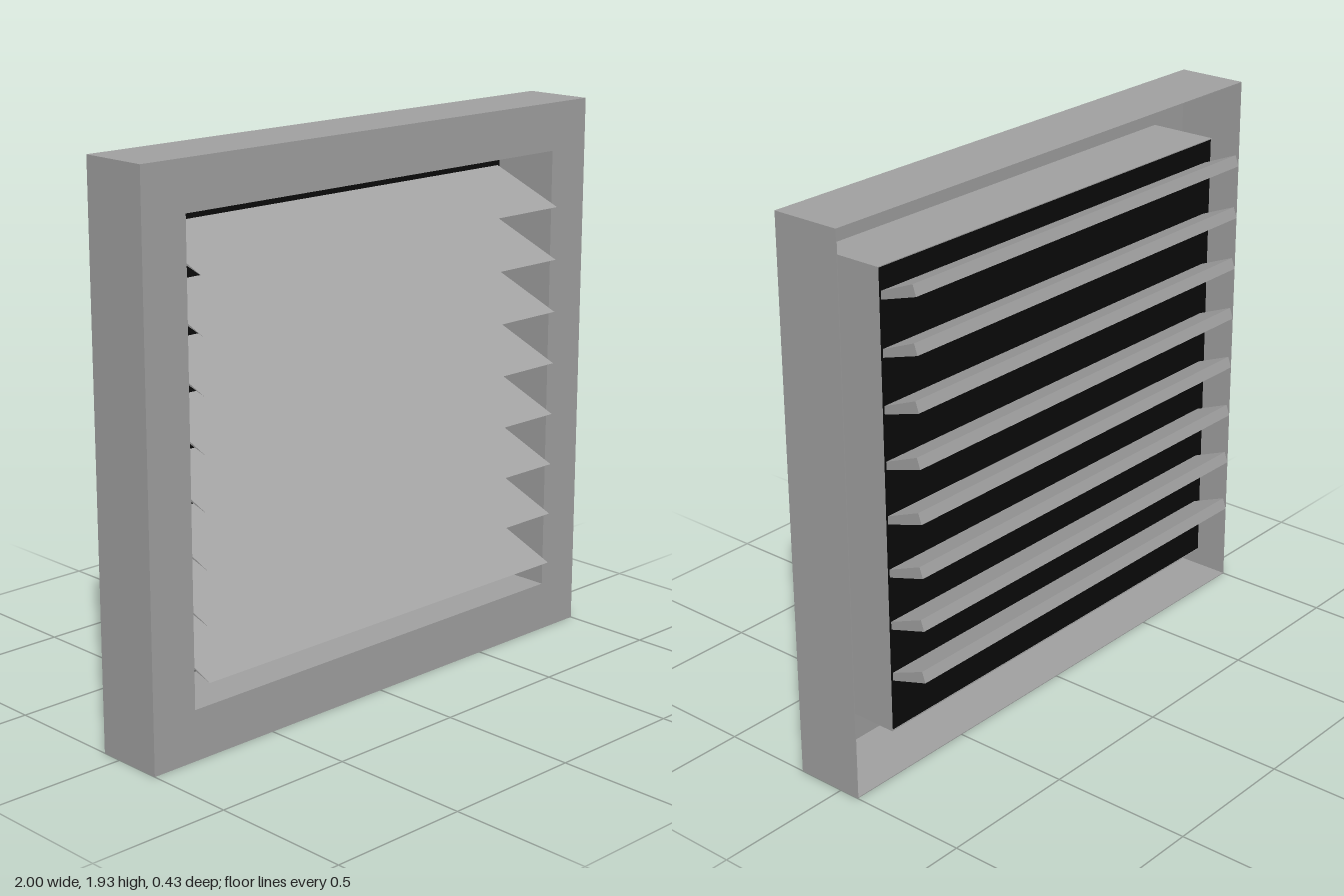
import * as THREE from 'three';

const FRONT = 0.175, BACK = -0.075, SHEET = 0.003;
const OUTER = { x: 1, y0: 0, y1: 1.93 };
const OPENING = { x: 0.83, y0: 0.175, y1: 1.763 };

// Rectangle shifted inwards by a margin
function rectangle(Type, r, inset = 0) {
  const x = r.x - inset, y0 = r.y0 + inset, y1 = r.y1 - inset;
  return new Type().moveTo(-x, y0).lineTo(x, y0).lineTo(x, y1).lineTo(-x, y1).closePath();
}

// Rectangular ring running from z0 to z1
function ring(outer, inner, inset, z0, z1) {
  const shape = rectangle(THREE.Shape, outer);
  shape.holes.push(rectangle(THREE.Path, inner, inset));
  const geo = new THREE.ExtrudeGeometry(shape, { depth: z1 - z0, bevelEnabled: false });
  return geo.translate(0, 0, z0);
}

export function createModel() {
  const group = new THREE.Group();
  const metal = new THREE.MeshStandardMaterial({ color: 0xa3a3a3 });
  metal.name = 'grey metal';
  const black = new THREE.MeshStandardMaterial({ color: 0x0a0a0a });
  black.name = 'black screen';

  const add = (name, geometry, material) => {
    const mesh = new THREE.Mesh(geometry, material);
    mesh.name = name;
    group.add(mesh);
    return mesh;
  };

  // Sheet metal frame: front flange, outer rim and inner duct, open at the back
  add('frontFlange', ring(OUTER, OPENING, 0, FRONT - SHEET, FRONT), metal);
  add('outerRim', ring(OUTER, OUTER, SHEET, BACK, FRONT - SHEET), metal);
  const ductOuter = { x: OPENING.x + SHEET, y0: OPENING.y0 - SHEET, y1: OPENING.y1 + SHEET };
  add('innerDuct', ring(ductOuter, OPENING, 0, BACK, FRONT - SHEET), metal);

  // Insect screen closing the back of the duct
  const screen = new THREE.BoxGeometry(OPENING.x * 2, OPENING.y1 - OPENING.y0, 0.004);
  add('screen', screen, black).position.set(0, (OPENING.y0 + OPENING.y1) / 2, BACK + 0.004);

  // Wedge-shaped slat, section drawn as (-z, y) with its sharp front edge at y = 0
  const section = new THREE.Shape()
    .moveTo(-0.21, 0).lineTo(0.215, 0.13).lineTo(0.202, 0.167).closePath();
  const left = 0.82, right = -0.798;
  const slat = new THREE.ExtrudeGeometry(section, { depth: left - right, bevelEnabled: false });
  slat.rotateY(Math.PI / 2).translate(right, 0, 0);

  const slats = new THREE.Group();
  slats.name = 'slats';
  for (let i = 0; i < 8; i++) {
    const mesh = new THREE.Mesh(slat, metal);
    mesh.name = 'slat';
    mesh.position.y = 0.268 + i * 0.1863;
    slats.add(mesh);
  }
  group.add(slats);
  return group;
}
